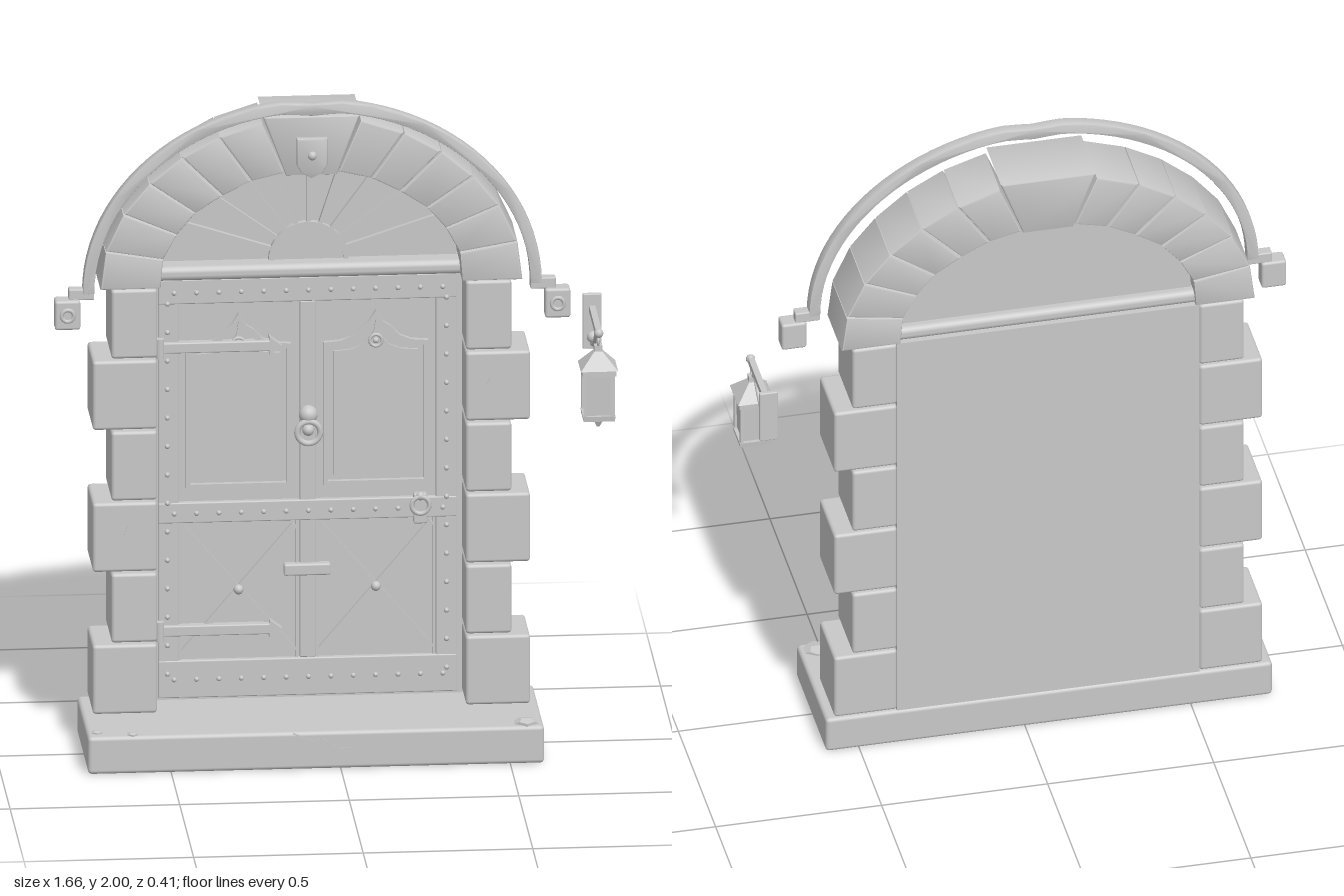
import * as THREE from 'three';
import { RoundedBoxGeometry } from 'three/addons/geometries/RoundedBoxGeometry.js';
import { toCreasedNormals } from 'three/addons/utils/BufferGeometryUtils.js';

const CX = -0.07; // middle of the doorway
const ZD = -0.14; // front face of the door leaf

export function createModel() {
  const model = new THREE.Group();
  model.name = 'archedDoorway';
  const stone = new THREE.MeshStandardMaterial({ color: 0xc8c8c8 });
  stone.name = 'plainGrey';

  const add = (name, geo, x = 0, y = 0, z = 0, parent = model) => {
    const m = new THREE.Mesh(geo, stone);
    m.name = name;
    m.position.set(x, y, z);
    parent.add(m);
    return m;
  };
  const box = (name, x0, x1, y0, y1, z0, z1, r = 0) => {
    const s = [x1 - x0, y1 - y0, z1 - z0];
    const g = r ? new RoundedBoxGeometry(...s, 2, r) : new THREE.BoxGeometry(...s);
    return add(name, g, (x0 + x1) / 2, (y0 + y1) / 2, (z0 + z1) / 2);
  };
  const vecs = (pts) => pts.map(([x, y]) => new THREE.Vector2(x, y));
  // Flat outline pushed forward from z0 to z1, with optional hole and bevel
  const plate = (name, pts, z0, z1, hole, bevel = 0) => {
    const s = new THREE.Shape(vecs(pts));
    if (hole) s.holes.push(new THREE.Path(vecs(hole)));
    const g = new THREE.ExtrudeGeometry(s, {
      depth: z1 - z0 - 2 * bevel, bevelEnabled: bevel > 0,
      bevelThickness: bevel, bevelSize: bevel, bevelOffset: -bevel, bevelSegments: 2,
    });
    return add(name, toCreasedNormals(g, 0.6), 0, 0, z0 + bevel);
  };
  // Straight bar between two points on the front plane
  const strip = (name, [ax, ay], [bx, by], w, z0, z1) => {
    const g = new THREE.BoxGeometry(Math.hypot(bx - ax, by - ay), w, z1 - z0);
    const m = add(name, g, (ax + bx) / 2, (ay + by) / 2, (z0 + z1) / 2);
    m.rotation.z = Math.atan2(by - ay, bx - ax);
    return m;
  };
  const rod = (name, pts, r) => add(name, new THREE.TubeGeometry(
    new THREE.CatmullRomCurve3(pts.map((p) => new THREE.Vector3(...p))), 16, r, 8));
  const mirror = ([x, y]) => [2 * CX - x, y];

  // Doorstep with loose pebbles
  box('doorstep', -0.745, 0.6, 0, 0.115, -0.2, 0.2, 0.012);
  for (const [x, z, r] of [[-0.715, 0.155, 0.018], [-0.612, 0.18, 0.018], [0.55, 0.16, 0.038]]) {
    const p = add('pebble', new THREE.DodecahedronGeometry(r), x, 0.116, z);
    p.scale.y = 0.35;
  }

  // Alternating jamb stones
  for (let i = 0; i < 6; i++) {
    const y = 0.12 + i * 0.2195;
    const w = i % 2 ? 0.135 : 0.19;
    box('jambStoneRight', -0.525 - w, -0.525, y, y + 0.213, -0.2, 0, 0.01);
    box('jambStoneLeft', 0.385, 0.385 + w, y, y + 0.213, -0.2, 0, 0.01);
  }

  // Arch stones, mirrored about the keystone
  const outer = [[-0.695, 1.43], [-0.68, 1.55], [-0.627, 1.665], [-0.55, 1.758],
    [-0.455, 1.837], [-0.345, 1.898], [-0.215, 1.94]];
  const inner = [[-0.512, 1.43], [-0.505, 1.52], [-0.465, 1.595], [-0.41, 1.66],
    [-0.33, 1.712], [-0.245, 1.755], [-0.147, 1.778]];
  const shrink = (pts, k) => {
    const mx = pts.reduce((s, p) => s + p[0], 0) / pts.length;
    const my = pts.reduce((s, p) => s + p[1], 0) / pts.length;
    return pts.map(([x, y]) => [mx + (x - mx) * k, my + (y - my) * k]);
  };
  for (let i = 0; i < 6; i++) {
    const q = shrink([outer[i], inner[i], inner[i + 1], outer[i + 1]], 0.97);
    plate('archStoneRight', q, -0.2, 0, null, 0.006);
    plate('archStoneLeft', q.map(mirror).reverse(), -0.2, 0, null, 0.006);
  }
  plate('keystone', [[-0.213, 1.955], [-0.145, 1.772], [0.005, 1.772], [0.073, 1.955]],
    -0.2, 0.003, null, 0.006);

  // Blank shield on the keystone
  plate('shield', [[-0.115, 1.892], [-0.115, 1.81], [-0.1, 1.785], [CX, 1.77],
    [-0.04, 1.785], [-0.025, 1.81], [-0.025, 1.892]], 0, 0.028, null, 0.006);
  add('shieldBoss', new THREE.SphereGeometry(0.014, 12, 8), CX, 1.84, 0.025);

  // Hood mould: elliptical band with a slight dip at the crown
  const band = (off) => Array.from({ length: 49 }, (_, i) => {
    const t = (Math.PI * i) / 48;
    const dx = (0.677 - off) * Math.cos(t);
    return [CX + dx, 1.43 + (0.58 - off) * Math.sin(t) - 0.012 * Math.exp(-((dx / 0.06) ** 2))];
  });
  plate('hoodMould', [...band(0), ...band(0.034).reverse()], -0.005, 0.032, null, 0.004);
  for (const s of [-1, 1]) {
    const span = (a, b) => [CX + s * a, CX + s * b].sort((p, q) => p - q);
    box('hoodFoot', ...span(0.643, 0.718), 1.412, 1.446, -0.003, 0.03, 0.004);
    box('hoodStop', ...span(0.685, 0.76), 1.325, 1.415, -0.01, 0.045, 0.008);
    add('hoodRosette', new THREE.TorusGeometry(0.018, 0.006, 8, 16), CX + s * 0.7225, 1.37, 0.045);
  }

  // Lintel and fan panel above the door
  box('lintel', -0.525, 0.385, 1.432, 1.476, -0.19, -0.06, 0.018);
  plate('fanPanel', [...inner, ...inner.map(mirror).reverse()], -0.16, -0.125);
  const hub = [CX, 1.475];
  const arc = (r) => Array.from({ length: 25 }, (_, i) =>
    [hub[0] + r * Math.cos((Math.PI * i) / 24), hub[1] + r * Math.sin((Math.PI * i) / 24)]);
  plate('fanHub', arc(0.105), -0.126, -0.115);
  plate('fanHubRim', [...arc(0.118), ...arc(0.103).reverse()], -0.126, -0.105);
  for (let i = 1; i < 10; i++) {
    const t = (Math.PI * i) / 10;
    const c = Math.cos(t), s = Math.sin(t);
    const len = 1 / Math.hypot(c / 0.435, s / 0.305);
    strip('fanSpoke', [hub[0] + 0.112 * c, hub[1] + 0.112 * s],
      [hub[0] + len * c, hub[1] + len * s], 0.013, -0.126, -0.108);
  }

  // Door leaf with iron-banded rails
  box('doorLeaf', -0.526, 0.386, 0.115, 1.432, -0.197, ZD);
  const rail = (n, x0, x1, y0, y1, d = 0.016) => box(n, x0, x1, y0, y1, ZD - 0.002, ZD + d, 0.004);
  rail('stileRight', -0.512, -0.452, 0.125, 1.418);
  rail('stileLeft', 0.307, 0.368, 0.125, 1.418);
  rail('topRail', -0.512, 0.368, 1.342, 1.418, 0.018);
  rail('middleRail', -0.512, 0.368, 0.665, 0.728, 0.018);
  rail('bottomRail', -0.512, 0.368, 0.125, 0.24, 0.018);
  rail('centreStile', -0.094, -0.048, 0.24, 1.342, 0.013);

  // Rivets
  const rivetGeo = new THREE.SphereGeometry(0.008, 8, 6);
  const rivet = (x, y) => add('rivet', rivetGeo, x, y, ZD + 0.017);
  for (let i = 0; i < 13; i++) {
    for (const y of [1.377, 0.695, 0.182]) rivet(-0.465 + i * 0.066, y);
  }
  for (let i = 0; i < 14; i++) {
    for (const x of [-0.485, 0.338]) rivet(x, 0.2 + i * 0.088);
  }

  // Panels: ogee-headed mouldings above, cross braces below
  for (const px of [-0.275, 0.13]) {
    const ogee = (d) => {
      const half = [[0.155, 0.77], [0.155, 1.212], [0.105, 1.216], [0.07, 1.23],
        [0.045, 1.258], [0.022, 1.272], [0, 1.308]];
      const pts = half.map(([x, y]) => [x ? Math.max(x - d, 0.005) : 0, y === 0.77 ? y + d : y - d]);
      return [...pts.map(([x, y]) => [px + x, y]),
        ...pts.slice(0, -1).reverse().map(([x, y]) => [px - x, y])];
    };
    plate('panelMoulding', ogee(0), ZD, ZD + 0.016, ogee(0.013));
    plate('panelField', ogee(0.03), ZD, ZD + 0.008);
    add('panelRosette', new THREE.TorusGeometry(0.018, 0.005, 8, 16), px, 1.215, ZD + 0.014);
    add('panelRosetteBoss', new THREE.SphereGeometry(0.009, 10, 8), px, 1.215, ZD + 0.014);
    for (const s of [-1, 1]) {
      strip('crossBrace', [px - 0.165, 0.455 - s * 0.195], [px + 0.165, 0.455 + s * 0.195],
        0.018, ZD, ZD + 0.012 + s * 0.001);
      strip('panelEdge', [px + s * 0.172, 0.24], [px + s * 0.172, 0.665], 0.008, ZD, ZD + 0.01);
    }
    add('crossBoss', new THREE.SphereGeometry(0.015, 12, 8), px, 0.455, ZD + 0.013);
  }

  // Strap hinges with arrow tips
  for (const y of [1.21, 0.335]) {
    box('hingeStrap', -0.51, -0.18, y - 0.016, y + 0.016, ZD, ZD + 0.03, 0.004);
    plate('hingeTip', [[-0.185, y - 0.028], [-0.148, y], [-0.185, y + 0.028]], ZD, ZD + 0.03);
    add('hingePin', new THREE.CylinderGeometry(0.013, 0.013, 0.06, 12), -0.508, y, ZD + 0.025);
  }

  // Latch, knocker and lock
  box('latchBar', -0.142, -0.004, 0.497, 0.533, ZD, ZD + 0.03, 0.006);
  add('knockerBoss', new THREE.SphereGeometry(0.028, 16, 12), CX, 0.993, ZD + 0.02);
  add('knockerRing', new THREE.TorusGeometry(0.034, 0.009, 10, 24), CX, 0.943, ZD + 0.038);
  add('knockerStrike', new THREE.SphereGeometry(0.018, 12, 8), CX, 0.945, ZD + 0.02);
  box('lockPlate', 0.24, 0.28, 0.648, 0.74, ZD, ZD + 0.027, 0.005);
  add('lockRing', new THREE.TorusGeometry(0.026, 0.007, 8, 20), 0.26, 0.708, ZD + 0.035);
  add('lockKnob', new THREE.SphereGeometry(0.013, 12, 8), 0.26, 0.735, ZD + 0.03);

  // Fine cracks in the masonry
  const crack = (name, pts, z) => pts.slice(1).forEach((p, i) =>
    strip(name, pts[i], p, 0.004, z - 0.002, z + 0.002));
  crack('stepCrack', [[-0.14, 0.112], [-0.08, 0.085], [-0.06, 0.095], [0, 0.06], [0.04, 0.066]], 0.2);
  crack('stoneCrack', [[0.45, 1.19], [0.462, 1.14], [0.448, 1.11], [0.46, 1.07]], 0);
  crack('stoneCrack', [[-0.62, 0.74], [-0.61, 0.7], [-0.622, 0.67]], 0);

  // Hanging lantern on its wall bracket
  const LX = 0.773, LZ = 0.02;
  box('bracketPlate', LX - 0.028, LX + 0.028, 1.15, 1.32, -0.205, -0.19, 0.004);
  box('bracketArm', LX - 0.009, LX + 0.009, 1.264, 1.284, -0.195, LZ + 0.02);
  rod('bracketBrace', [[LX, 1.165, -0.195], [LX, 1.185, -0.13], [LX, 1.225, -0.06], [LX, 1.27, -0.01]], 0.007);
  add('bracketBall', new THREE.SphereGeometry(0.018, 12, 8), LX, 1.195, -0.165);
  add('armEnd', new THREE.SphereGeometry(0.014, 12, 8), LX, 1.274, LZ + 0.022);
  const ring = add('lanternRing', new THREE.TorusGeometry(0.014, 0.004, 8, 16), LX, 1.244, LZ);
  ring.rotation.y = Math.PI / 2;
  const square = (name, top, bottom, y0, y1) => {
    const g = new THREE.CylinderGeometry(top * Math.SQRT2, bottom * Math.SQRT2, y1 - y0, 4).toNonIndexed();
    g.rotateY(Math.PI / 4);
    g.computeVertexNormals();
    add(name, g, LX, (y0 + y1) / 2, LZ);
  };
  square('lanternRoof', 0.011, 0.055, 1.165, 1.215);
  square('lanternCap', 0.012, 0.012, 1.213, 1.232);
  square('lanternCollar', 0.05, 0.05, 1.148, 1.166);
  square('lanternGlass', 0.041, 0.037, 1.02, 1.15);
  square('lanternBase', 0.048, 0.046, 1.008, 1.024);
  square('lanternFinial', 0.018, 0.004, 0.98, 1.01);
  for (const sx of [-1, 1]) for (const sz of [-1, 1]) {
    const x = LX + sx * 0.041, z = LZ + sz * 0.041;
    box('lanternPost', x - 0.005, x + 0.005, 1.02, 1.152, z - 0.005, z + 0.005);
  }
  return model;
}
